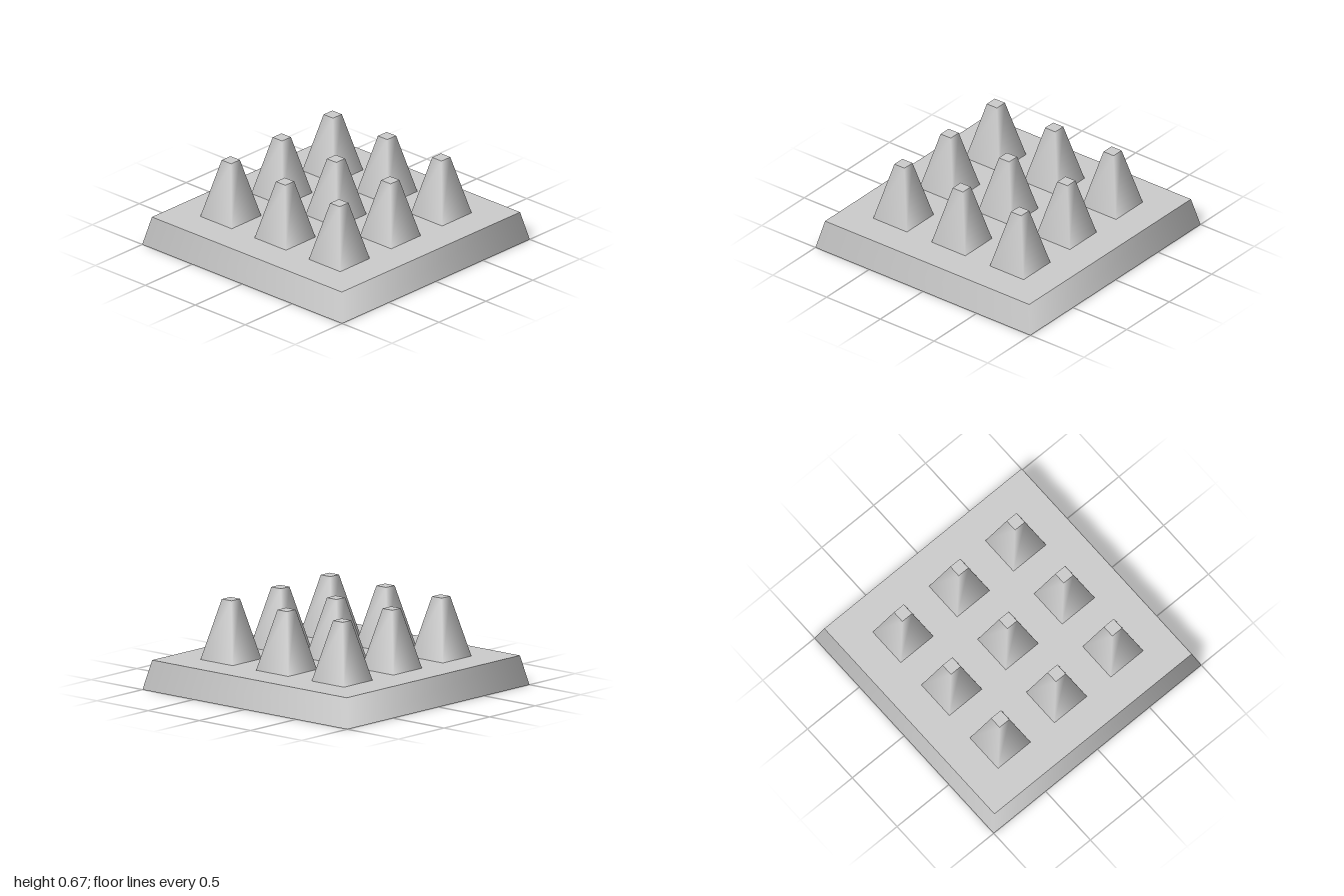
import * as THREE from 'three';

const PLATE_H = 0.22, TOP_Y = 0.67;      // plate top, spike top
const PLATE_BASE = 1, PLATE_TOP = 0.95;  // plate half widths
const SPIKE_BASE = 0.157, SPIKE_TOP = 0.047; // spike half widths
const PITCH = 0.543;

// four-sided tapered skirt with normals smoothed around its corners
function skirt(topHalf, baseHalf, y0, y1) {
  const g = new THREE.CylinderGeometry(topHalf * Math.SQRT2, baseHalf * Math.SQRT2, y1 - y0, 4, 1, true);
  g.rotateY(Math.PI / 4);
  g.translate(0, (y0 + y1) / 2, 0);
  return g;
}

function squarePoints(cx, cy, half) {
  return [[-1, -1], [1, -1], [1, 1], [-1, 1]].map(([a, b]) => new THREE.Vector2(cx + a * half, cy + b * half));
}

export function createModel() {
  const model = new THREE.Group();
  const solid = new THREE.MeshStandardMaterial({ color: 0xcccccc });
  const thin = new THREE.MeshStandardMaterial({ color: 0xcccccc, side: THREE.DoubleSide });
  const inner = new THREE.MeshStandardMaterial({ color: 0xcccccc, side: THREE.DoubleSide, flatShading: true });

  const add = (parent, name, geometry, material) => {
    const mesh = new THREE.Mesh(geometry, material);
    mesh.name = name;
    parent.add(mesh);
    return mesh;
  };

  const centres = [];
  for (let i = -1; i <= 1; i++) for (let j = -1; j <= 1; j++) centres.push([i * PITCH, j * PITCH]);

  // square sheet pierced under every spike
  const piercedSheet = (half) => {
    const shape = new THREE.Shape(squarePoints(0, 0, half));
    for (const [x, z] of centres) shape.holes.push(new THREE.Path(squarePoints(x, z, SPIKE_BASE)));
    return new THREE.ShapeGeometry(shape);
  };

  // base plate: sloped rim, top and underside
  const plate = new THREE.Group();
  plate.name = 'basePlate';
  model.add(plate);
  add(plate, 'plateRim', skirt(PLATE_TOP, PLATE_BASE, 0, PLATE_H), solid);
  add(plate, 'plateTop', piercedSheet(PLATE_TOP).rotateX(-Math.PI / 2).translate(0, PLATE_H, 0), solid);
  add(plate, 'plateUnderside', piercedSheet(PLATE_BASE).rotateX(Math.PI / 2), solid);

  // hollow spikes, each above a square well through the plate
  const spikeGeo = skirt(SPIKE_TOP, SPIKE_BASE, PLATE_H, TOP_Y);
  const tipGeo = new THREE.PlaneGeometry(SPIKE_TOP * 2, SPIKE_TOP * 2).rotateX(-Math.PI / 2).translate(0, TOP_Y, 0);
  const wellGeo = skirt(SPIKE_BASE, SPIKE_BASE, 0, PLATE_H);
  for (const [x, z] of centres) {
    const spike = new THREE.Group();
    spike.name = 'spike';
    spike.position.set(x, 0, z);
    add(spike, 'spikeSides', spikeGeo, thin);
    add(spike, 'spikeTip', tipGeo, thin);
    add(spike, 'spikeWell', wellGeo, inner);
    model.add(spike);
  }
  return model;
}
